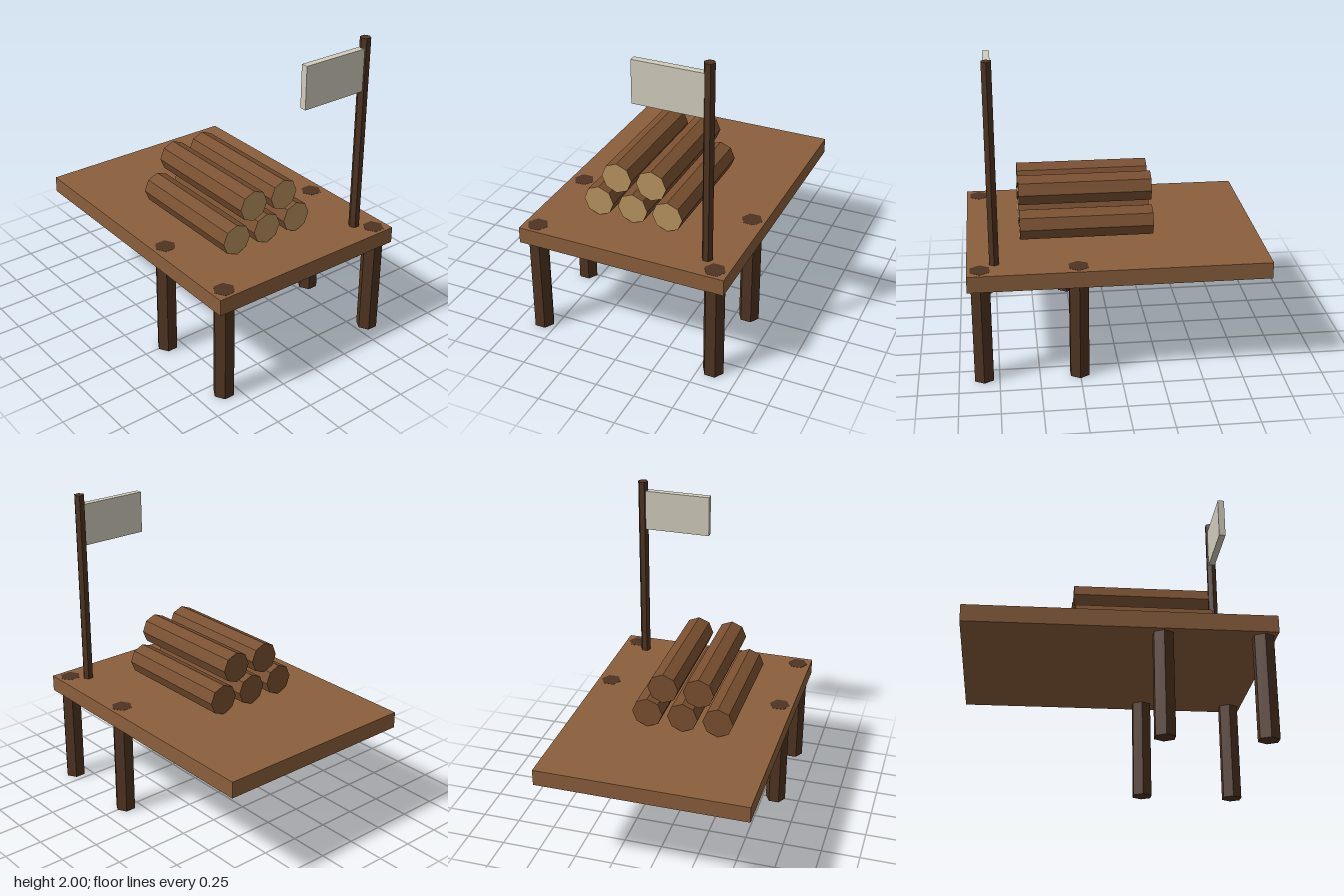
import * as THREE from 'three';

const paint = (color) => new THREE.MeshStandardMaterial({ color, flatShading: true });

export function createModel() {
  const model = new THREE.Group();
  const deckWood = paint(0x8b5f3c);
  const darkWood = paint(0x4f3422);
  const bark = paint(0x7a5030);
  const cutWood = paint(0xb8935f);
  const cloth = paint(0xd2cdbd);

  const add = (name, geometry, material, x, y, z) => {
    const mesh = new THREE.Mesh(geometry, material);
    mesh.name = name;
    mesh.position.set(x, y, z);
    model.add(mesh);
    return mesh;
  };

  // Hexagonal post with corners pointing along x
  const post = (name, radius, bottom, top, x, z) => {
    const geometry = new THREE.CylinderGeometry(radius, radius, top - bottom, 6);
    geometry.rotateY(Math.PI / 6);
    return add(name, geometry, darkWood, x, (bottom + top) / 2, z);
  };

  // Deck
  add('deck', new THREE.BoxGeometry(1.35, 0.105, 1.85), deckWood, 0, 0.6875, 0);

  // Four legs, their tops just showing through the deck
  for (const side of [-1, 1]) {
    for (const z of [0.845, 0.253]) post('leg', 0.067, 0, 0.741, side * 0.588, z);
  }

  // Flag pole and flag
  post('flagPole', 0.034, 0.7, 2, 0.503, 0.757);
  add('flag', new THREE.BoxGeometry(0.46, 0.27, 0.043), cloth, 0.27, 1.803, 0.757);

  // Stacked logs with pale cut ends at the front
  const logGeometry = new THREE.CylinderGeometry(0.1, 0.1, 0.84, 8);
  logGeometry.rotateX(Math.PI / 2);
  const rows = [
    { y: 0.84, xs: [-0.297, -0.066, 0.166] },
    { y: 1.03, xs: [-0.17, 0.061] },
  ];
  for (const { y, xs } of rows) {
    for (const x of xs) add('log', logGeometry, [bark, cutWood, bark], x, y, 0.17);
  }

  return model;
}
